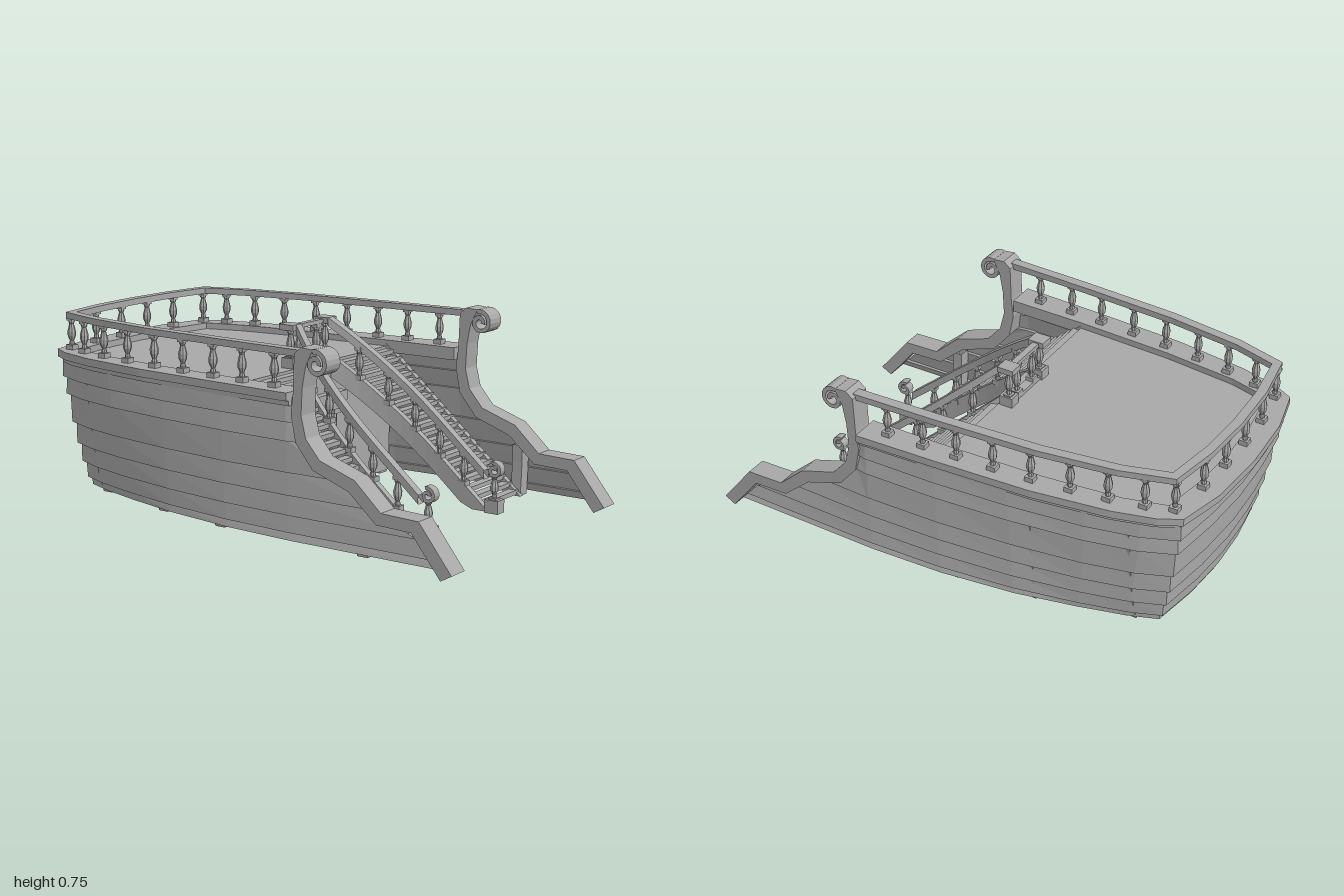
import * as THREE from 'three';

const wood = new THREE.MeshStandardMaterial({ color: 0xa8a8a8, side: THREE.DoubleSide, flatShading: true });
wood.name = 'greyWood';

const lerp = (a, b, t) => a + (b - a) * t;

function add(parent, name, geo, x = 0, y = 0, z = 0) {
  const m = new THREE.Mesh(geo, wood);
  m.name = name;
  m.position.set(x, y, z);
  parent.add(m);
  return m;
}
// Box given by its min and max corners
function box(parent, name, x0, x1, y0, y1, z0, z1) {
  return add(parent, name, new THREE.BoxGeometry(x1 - x0, y1 - y0, z1 - z0),
    (x0 + x1) / 2, (y0 + y1) / 2, (z0 + z1) / 2);
}
// Surface through rows of points of equal length
function loft(rows) {
  const n = rows[0].length, idx = [];
  for (let i = 0; i < rows.length - 1; i++) for (let j = 0; j < n - 1; j++) {
    const a = i * n + j, b = a + n;
    idx.push(a, b, a + 1, b, b + 1, a + 1);
  }
  const g = new THREE.BufferGeometry();
  g.setAttribute('position', new THREE.Float32BufferAttribute(rows.flat(2), 3));
  g.setIndex(idx);
  g.computeVertexNormals();
  return g;
}
const shapeOf = pts => new THREE.Shape(pts.map(p => new THREE.Vector2(p[0], p[1])));
// Plan outline [x, z] raised between two heights
function planSlab(pts, y0, y1) {
  const g = new THREE.ExtrudeGeometry(shapeOf(pts.map(([x, z]) => [x, -z])), { depth: y1 - y0, bevelEnabled: false });
  return g.rotateX(-Math.PI / 2).translate(0, y0, 0);
}
// Side outline [z, y] extended between two x positions
function sideSlab(pts, x0, x1) {
  const g = new THREE.ExtrudeGeometry(shapeOf(pts), { depth: x1 - x0, bevelEnabled: false });
  return g.rotateY(-Math.PI / 2).translate(x1, 0, 0);
}
// Half outline running to the centreline, completed by its mirror image
const mirrored = half => [...half, ...half.slice(0, -1).reverse().map(([x, z]) => [-x, z])];
const band = (outer, inner, y0, y1) => planSlab([...mirrored(outer), ...mirrored(inner).reverse()], y0, y1);

// Spiral strip in the side plane, curling forward and down
function scroll(cz, cy, r, thick, turns, x0, x1) {
  const out = [], inn = [], n = 22;
  for (let i = 0; i <= n; i++) {
    const a = 1.9 - (i / n) * turns * Math.PI * 2, q = r * lerp(1, 0.38, i / n);
    out.push([cz + q * Math.cos(a), cy + q * Math.sin(a)]);
    inn.push([cz + (q - thick) * Math.cos(a), cy + (q - thick) * Math.sin(a)]);
  }
  return sideSlab([...out, ...inn.reverse()], x0, x1);
}

// Turned baluster with square base and cap
const balusterProfile = [[0.009, 0.1], [0.011, 0.2], [0.008, 0.27], [0.016, 0.42], [0.017, 0.55], [0.009, 0.8], [0.013, 0.86], [0.011, 0.95]];
function baluster(parent, x, y, z, h) {
  const g = new THREE.Group();
  g.name = 'baluster';
  g.position.set(x, y, z);
  box(g, 'balusterBase', -0.017, 0.017, 0, h * 0.15, -0.017, 0.017);
  add(g, 'balusterBody', new THREE.LatheGeometry(balusterProfile.map(([r, t]) => new THREE.Vector2(r, t * h)), 8));
  box(g, 'balusterCap', -0.014, 0.014, h * 0.9, h, -0.014, 0.014);
  parent.add(g);
}

// Hull plan at top and bottom; the first column follows the front slope
const hullTop = [[0.585, 0.3], [0.58, 0], [0.56, -0.3], [0.525, -0.6], [0.48, -0.8], [0.425, -0.925], [0.22, -0.95], [0, -0.96]];
const hullBottom = [[0.56, 0.3], [0.545, 0], [0.505, -0.3], [0.45, -0.54], [0.40, -0.72], [0.36, -0.82], [0.18, -0.85], [0, -0.86]];
const frontSlope = [[0.03, 0.93], [0.155, 0.82], [0.17, 0.7], [0.26, 0.58], [0.32, 0.44], [0.4, 0.36], [0.5, 0.335], [0.56, 0.335]];
function frontZ(y) {
  for (let i = 1; i < frontSlope.length; i++) {
    const [ya, za] = frontSlope[i - 1], [yb, zb] = frontSlope[i];
    if (y <= yb) return lerp(za, zb, (y - ya) / (yb - ya));
  }
  return 0.335;
}
function hullRow(y, out) {
  const v = Math.pow((y - 0.03) / 0.53, 0.65);
  const half = hullTop.map(([x, z], i) => {
    const [bx, bz] = hullBottom[i];
    const side = i < 5 ? 1 : i === 5 ? 0.7 : 0;
    return [lerp(bx, x, v) + out * side, lerp(bz, z, v) - out * (i > 4 ? 1 : 0)];
  });
  half.unshift([lerp(0.555, 0.575, v) + out, frontZ(y)]);
  return mirrored(half).map(([x, z]) => [x, y, z]);
}
function hullX(z, y) {
  const r = hullRow(y, 0);
  for (let i = 1; i < r.length; i++) if (r[i][2] <= z) {
    return lerp(r[i - 1][0], r[i][0], (z - r[i - 1][2]) / (r[i][2] - r[i - 1][2]));
  }
  return 0;
}

// Stair geometry: slope line and the curved inner edge
const stairY = z => 0.555 - 0.85 * z;
const innerX = z => 0.105 + 0.125 * (1 - Math.pow(1 - Math.min(Math.max(z, 0) / 0.45, 1), 2.2));

function buildHull(root) {
  // Lapped planks, each lower edge standing proud
  const seams = [0.03, 0.06, 0.125, 0.2, 0.285, 0.4, 0.47, 0.56], rows = [];
  for (let i = 0; i < seams.length - 1; i++) rows.push(hullRow(seams[i], 0.014), hullRow(seams[i + 1], 0));
  add(root, 'hullPlanks', loft(rows));

  const trimOuter = [[0.615, 0.32], [0.6, 0], [0.575, -0.4], [0.53, -0.7], [0.485, -0.86], [0.44, -0.94], [0.25, -0.985], [0, -1]];
  const trimInner = [[0.5, 0.32], [0.495, 0], [0.475, -0.4], [0.44, -0.7], [0.395, -0.86], [0.2, -0.89], [0, -0.9]];
  add(root, 'deckTrim', band(trimOuter, trimInner, 0.55, 0.58));
  const shrink = (pts, d) => pts.map(([x, z]) => [x * (1 - d), z > 0 ? z : z * (1 - d * 0.7)]);
  add(root, 'lowerTrim', band(shrink(trimOuter, 0.025), trimInner, 0.53, 0.55));
  add(root, 'deck', planSlab(mirrored([[0.51, 0], [0.49, -0.4], [0.455, -0.7], [0.41, -0.87], [0, -0.91]]), 0.535, 0.555));

  // Stern and side railing
  const railOuter = [[0.575, 0.36], [0.56, 0], [0.535, -0.4], [0.49, -0.7], [0.43, -0.9], [0.22, -0.935], [0, -0.945]];
  const railInner = [[0.535, 0.36], [0.52, 0], [0.495, -0.4], [0.452, -0.7], [0.4, -0.87], [0.2, -0.9], [0, -0.908]];
  add(root, 'railing', band(railOuter, railInner, 0.705, 0.73));
  const posts = [[0.55, 0.22], [0.545, 0.07], [0.538, -0.07], [0.53, -0.22], [0.517, -0.37], [0.498, -0.52], [0.476, -0.66],
    [0.446, -0.79], [0.41, -0.89], [0.24, -0.915], [0.08, -0.922]];
  for (const s of [1, -1]) for (const [x, z] of posts) baluster(root, s * x, 0.58, z, 0.128);

  // Inside frames
  for (const s of [1, -1]) for (const z of [0.61, -0.045, -0.36, -0.73]) {
    const top = z > 0.5 ? 0.22 : 0.53, rib = [];
    for (let i = 0; i <= 6; i++) {
      const y = lerp(0.018, top, i / 6), x = hullX(z, Math.max(y, 0.03));
      rib.push([[x, z - 0.022], [x - 0.05, z - 0.022], [x - 0.05, z + 0.022], [x, z + 0.022], [x, z - 0.022]]
        .map(p => [s * p[0], y, p[1]]));
    }
    add(root, 'hullFrame', loft(rib));
  }

  // Curved front posts ending in a scroll
  const outline = [[1, 0.025], [0.865, 0.195], [0.71, 0.2], [0.6, 0.3], [0.45, 0.35], [0.39, 0.42], [0.37, 0.5], [0.375, 0.6],
    [0.39, 0.68], [0.42, 0.74], [0.37, 0.745], [0.34, 0.72], [0.335, 0.58], [0.325, 0.5], [0.345, 0.4], [0.42, 0.31], [0.575, 0.255],
    [0.69, 0.155], [0.835, 0.15], [0.955, 0]];
  for (const s of [1, -1]) {
    const g = new THREE.Group();
    g.name = 'frontPost';
    add(g, 'postCurve', sideSlab(outline, -0.0425, 0.0425));
    add(g, 'postScroll', scroll(0.432, 0.69, 0.055, 0.017, 1.35, -0.042, 0.042));
    g.position.x = s * 0.551;
    root.add(g);
  }
}

function buildStair(root, s) {
  const g = new THREE.Group();
  g.name = s > 0 ? 'leftStair' : 'rightStair';
  const steps = 20;
  for (let i = 0; i < steps; i++) {
    const z = 0.016 + i * 0.031, x0 = innerX(z);
    add(g, 'tread', new THREE.BoxGeometry(0.515 - x0, 0.017, 0.036), s * (x0 + 0.515) / 2, stairY(z) - 0.006, z);
  }
  // Curved inner and straight outer stringers, then the handrail
  const section = (x, z, w, y0, y1) => [[x - w, y0], [x + w, y0], [x + w, y1], [x - w, y1], [x - w, y0]].map(p => [s * p[0], p[1], z]);
  const inner = [], outer = [], hand = [];
  for (let i = 0; i <= 12; i++) {
    const z = lerp(0, 0.64, i / 12), y = stairY(z);
    inner.push(section(innerX(z), z, 0.013, Math.max(y - 0.06, 0.02), y + 0.025));
    outer.push(section(0.505, z, 0.012, Math.max(y - 0.06, 0.02), y + 0.01));
    hand.push(section(innerX(z), z, 0.017, y + 0.135, y + 0.17));
  }
  add(g, 'innerStringer', loft(inner));
  add(g, 'outerStringer', loft(outer));
  add(g, 'handrail', loft(hand));
  for (const z of [0.1, 0.21, 0.32, 0.43, 0.54]) baluster(g, s * innerX(z), stairY(z) + 0.01, z, 0.13);

  // Bottom newel
  const x = s * 0.233;
  box(g, 'newelBase', x - 0.025, x + 0.025, 0.018, 0.07, 0.645, 0.705);
  baluster(g, x, 0.06, 0.675, 0.11);
  add(g, 'newelScroll', scroll(0.68, 0.185, 0.036, 0.013, 1.3, -0.017, 0.017), x);

  // Top newel at the deck edge
  const t = s * 0.112;
  box(g, 'topNewelBase', t - 0.024, t + 0.024, 0.55, 0.595, -0.06, -0.005);
  baluster(g, t, 0.58, -0.033, 0.13);
  box(g, 'topNewelCap', t - 0.03, t + 0.03, 0.702, 0.725, -0.066, 0);
  root.add(g);
}

function buildDoorway(root) {
  box(root, 'deckEdgeRail', -0.1, 0.1, 0.703, 0.719, -0.046, -0.02);
  for (const x of [-0.055, 0.055]) baluster(root, x, 0.565, -0.033, 0.138);
  box(root, 'deckEdgeBase', -0.1, 0.1, 0.555, 0.57, -0.05, -0.015);
  for (const s of [1, -1]) {
    // Bulkhead beside the door
    const w = add(root, 'bulkhead', new THREE.BoxGeometry(0.445, 0.505, 0.016), s * 0.3175, 0.2825, -0.02);
    w.updateMatrix();
    // Door columns
    const c = new THREE.Group();
    c.name = 'doorColumn';
    c.position.set(s * 0.11, 0, 0.01);
    box(c, 'columnBase', -0.024, 0.024, 0.03, 0.06, -0.024, 0.024);
    add(c, 'columnShaft', new THREE.CylinderGeometry(0.014, 0.016, 0.29, 8), 0, 0.205, 0);
    box(c, 'columnCap', -0.021, 0.021, 0.345, 0.37, -0.021, 0.021);
    root.add(c);
  }
  // Stepped lintel up to the deck
  box(root, 'wallOverDoor', -0.1, 0.1, 0.37, 0.54, -0.028, -0.012);
  box(root, 'lintel', -0.135, 0.135, 0.365, 0.395, -0.03, 0.035);
  box(root, 'lintelTop', -0.155, 0.155, 0.395, 0.435, -0.03, 0.045);
  box(root, 'overdoorBlock', -0.085, 0.085, 0.435, 0.53, -0.03, 0.015);
  box(root, 'deckEdgeBeam', -0.12, 0.12, 0.525, 0.558, -0.03, 0.022);
}

export function createModel() {
  const root = new THREE.Group();
  root.name = 'sternDeck';
  buildHull(root);
  for (const s of [1, -1]) buildStair(root, s);
  buildDoorway(root);
  return root;
}
